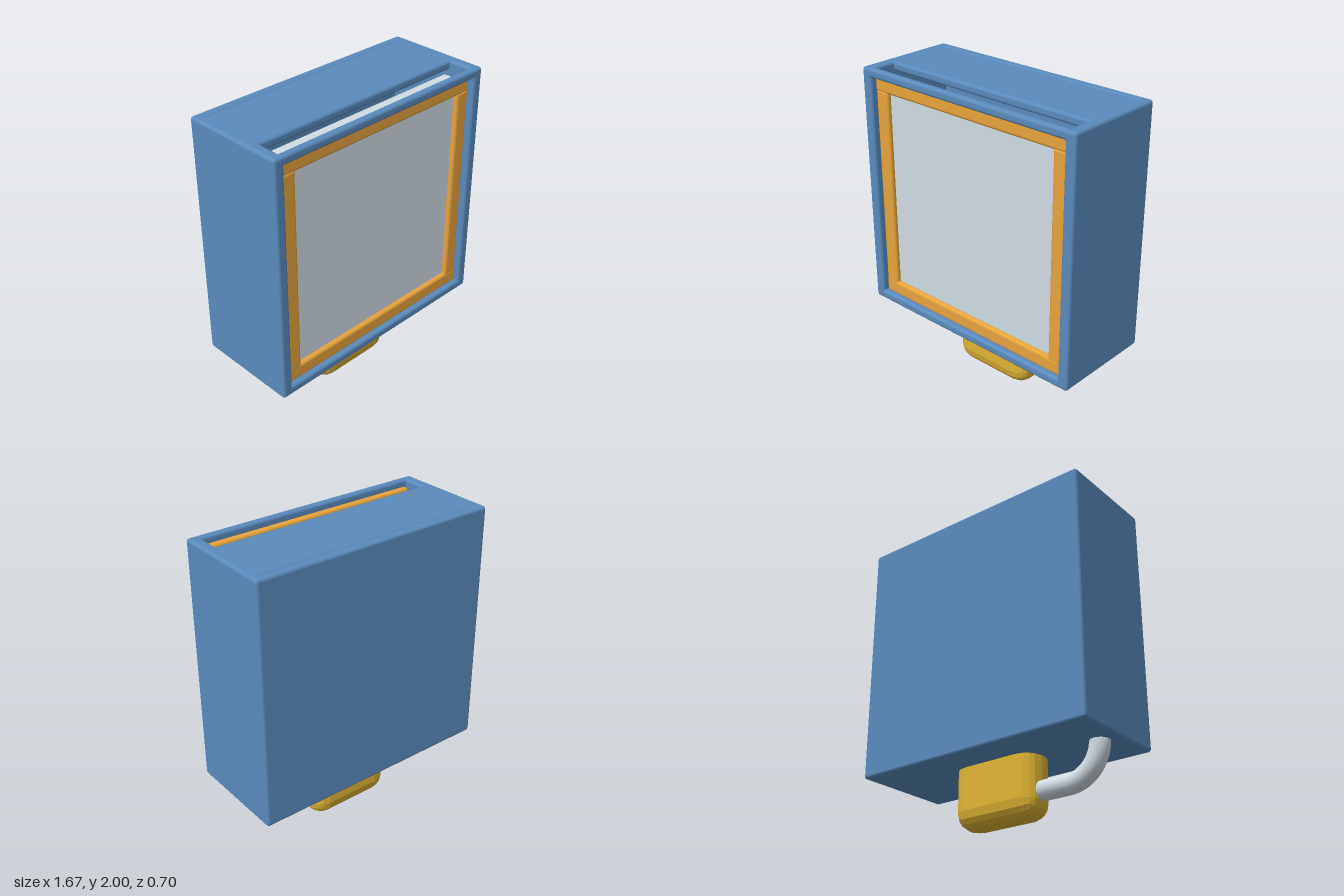
import * as THREE from 'three';
import { RoundedBoxGeometry } from 'three/addons/geometries/RoundedBoxGeometry.js';

const mat = (name, color) => {
  const m = new THREE.MeshStandardMaterial({ color });
  m.name = name;
  return m;
};

export function createModel() {
  const group = new THREE.Group();
  const blue = mat('blue casing', 0x5a8bbd);
  const orange = mat('orange trim', 0xeca83e);
  const grey = mat('pale grey', 0xd0dce4);
  const gold = mat('gold body', 0xe0b434);
  const dark = mat('dark slot', 0x35264a);
  dark.side = THREE.DoubleSide;

  const add = (name, geo, material) => {
    const mesh = new THREE.Mesh(geo, material);
    mesh.name = name;
    group.add(mesh);
    return mesh;
  };
  // Rounded block given by its minimum and maximum along each axis
  const block = (name, material, [x0, x1], [y0, y1], [z0, z1], r = 0.02, seg = 3) => {
    const mesh = add(name, new RoundedBoxGeometry(x1 - x0, y1 - y0, z1 - z0, seg, r), material);
    mesh.position.set((x0 + x1) / 2, (y0 + y1) / 2, (z0 + z1) / 2);
    return mesh;
  };

  // Casing: side walls, floor, back, full-width roof and front rails around a slot
  for (const [name, s] of [['left', 1], ['right', -1]]) {
    const span = [0.76 * s, 0.833 * s].sort((a, b) => a - b);
    block(name + 'Wall', blue, span, [0.378, 2], [-0.35, 0.35]);
  }
  block('floor', blue, [-0.833, 0.833], [0.378, 0.44], [-0.35, 0.35]);
  block('backPanel', blue, [-0.833, 0.833], [0.378, 2], [-0.35, -0.29]);
  block('roof', blue, [-0.833, 0.833], [1.94, 2], [-0.295, 0.155]);
  block('topFrontRail', blue, [-0.833, 0.833], [1.94, 2], [0.3, 0.35]);

  // Inner trim frame
  const trimZ = [0.265, 0.315];
  block('topTrim', orange, [-0.76, 0.76], [1.85, 1.955], trimZ);
  block('bottomTrim', orange, [-0.76, 0.76], [0.43, 0.53], trimZ);
  block('leftTrim', orange, [0.655, 0.757], [0.51, 1.865], trimZ);
  block('rightTrim', orange, [-0.757, -0.655], [0.45, 1.865], trimZ);

  // Front panel
  const panel = add('frontPanel', new THREE.BoxGeometry(1.52, 1.46, 0.165), grey);
  panel.position.set(0, 1.17, 0.2025);

  // Faceted lock body hanging below the casing
  block('lockBody', gold, [-0.3, 0.3], [0, 0.6], [-0.125, 0.125], 0.11, 2)
    .geometry.computeVertexNormals();

  // Tapered keyway plate on the lock's left side
  const slot = new THREE.Shape([[-0.02, 0.12], [0.02, 0.12], [0.045, 0.4], [-0.02, 0.4]]
    .map(([x, y]) => new THREE.Vector2(x, y)));
  const keyway = add('keyway', new THREE.ShapeGeometry(slot), dark);
  keyway.rotation.y = Math.PI / 2;
  keyway.position.x = 0.303;

  // Bent shackle rising into the floor of the casing
  const path = new THREE.CurvePath();
  const v = (x, y) => new THREE.Vector3(x, y, 0);
  const bend = [];
  for (let i = 0; i <= 12; i++) {
    const a = Math.PI + (i / 12) * Math.PI / 2;
    bend.push(v(-0.48 + 0.218 * Math.cos(a), 0.382 + 0.218 * Math.sin(a)));
  }
  path.add(new THREE.LineCurve3(v(-0.698, 0.43), bend[0]));
  path.add(new THREE.CatmullRomCurve3(bend));
  path.add(new THREE.LineCurve3(bend[12], v(-0.25, 0.164)));
  add('shackle', new THREE.TubeGeometry(path, 40, 0.062, 20), grey);

  return group;
}
